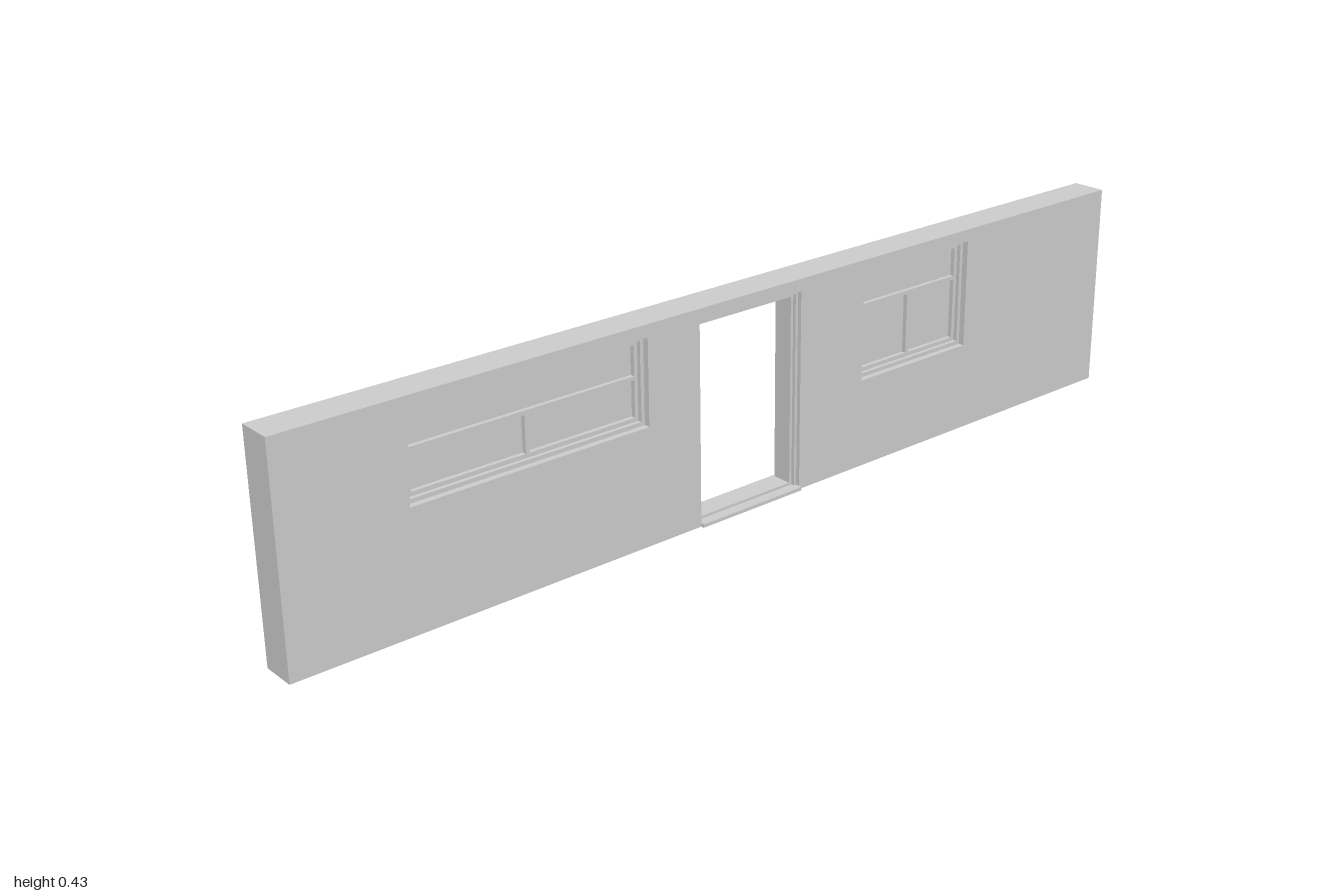
import * as THREE from 'three';

const material = new THREE.MeshStandardMaterial({ color: 0xcccccc, flatShading: true });
const MID = -0.0025; // centre plane of the wall in z
const WALL_DEPTH = 0.071;

function rectPath(path, x0, y0, x1, y1) {
  path.moveTo(x0, y0);
  path.lineTo(x1, y0);
  path.lineTo(x1, y1);
  path.lineTo(x0, y1);
  path.closePath();
  return path;
}

// Extrudes a shape symmetrically about the wall's centre plane
function slab(name, shape, depth) {
  const geometry = new THREE.ExtrudeGeometry(shape, { depth, bevelEnabled: false });
  geometry.translate(0, 0, MID - depth / 2);
  const mesh = new THREE.Mesh(geometry, material);
  mesh.name = name;
  return mesh;
}

// Rectangular ring or, with several holes, a sash with panes cut out
function frame(name, [x0, y0, x1, y1], holes, depth) {
  const shape = rectPath(new THREE.Shape(), x0, y0, x1, y1);
  for (const h of holes) shape.holes.push(rectPath(new THREE.Path(), ...h));
  return slab(name, shape, depth);
}

const inset = ([x0, y0, x1, y1], d) => [x0 + d, y0 + d, x1 - d, y1 - d];

// Window: outer frame, thinner sash with one wide pane above two, and glass
function createWindow(name, opening) {
  const group = new THREE.Group();
  group.name = name;
  const sash = inset(opening, 0.008);
  const [x0, y0, x1, y1] = inset(opening, 0.016);
  const xm = (x0 + x1) / 2, bar = 0.004, railY = 0.329;
  group.add(
    frame('outerFrame', opening, [sash], 0.046),
    frame('sash', sash, [
      [x0, railY + bar, x1, y1],
      [x0, y0, xm - bar, railY - bar],
      [xm + bar, y0, x1, railY - bar],
    ], 0.03),
    frame('glass', [x0, y0, x1, y1], [], 0.012),
  );
  return group;
}

export function createModel() {
  const model = new THREE.Group();
  model.name = 'wallWithDoorway';

  const windows = {
    wideWindow: [-0.755, 0.237, -0.252, 0.408],
    narrowWindow: [0.284, 0.184, 0.578, 0.408],
  };
  const door = [-0.132, 0, 0.118, 0.408];

  // Wall outline, notched for the doorway, with window openings
  const outline = new THREE.Shape([
    [-1, 0], [door[0], 0], [door[0], door[3]], [door[2], door[3]],
    [door[2], 0], [1, 0], [1, 0.433], [-1, 0.433],
  ].map(([x, y]) => new THREE.Vector2(x, y)));
  for (const w of Object.values(windows)) outline.holes.push(rectPath(new THREE.Path(), ...w));
  model.add(slab('wall', outline, WALL_DEPTH));

  for (const [name, opening] of Object.entries(windows)) model.add(createWindow(name, opening));

  // Door lining in two steps
  const doorFrame = new THREE.Group();
  doorFrame.name = 'doorFrame';
  const inner = inset(door, 0.006);
  doorFrame.add(
    frame('outerLining', door, [inner], 0.054),
    frame('innerLining', inner, [inset(door, 0.012)], 0.04),
  );
  model.add(doorFrame);

  // Threshold, projecting slightly at the front
  const back = MID - WALL_DEPTH / 2, front = 0.04;
  const threshold = new THREE.Mesh(
    new THREE.BoxGeometry(door[2] - door[0], 0.007, front - back), material);
  threshold.name = 'threshold';
  threshold.position.set((door[0] + door[2]) / 2, 0.0035, (front + back) / 2);
  model.add(threshold);

  return model;
}
